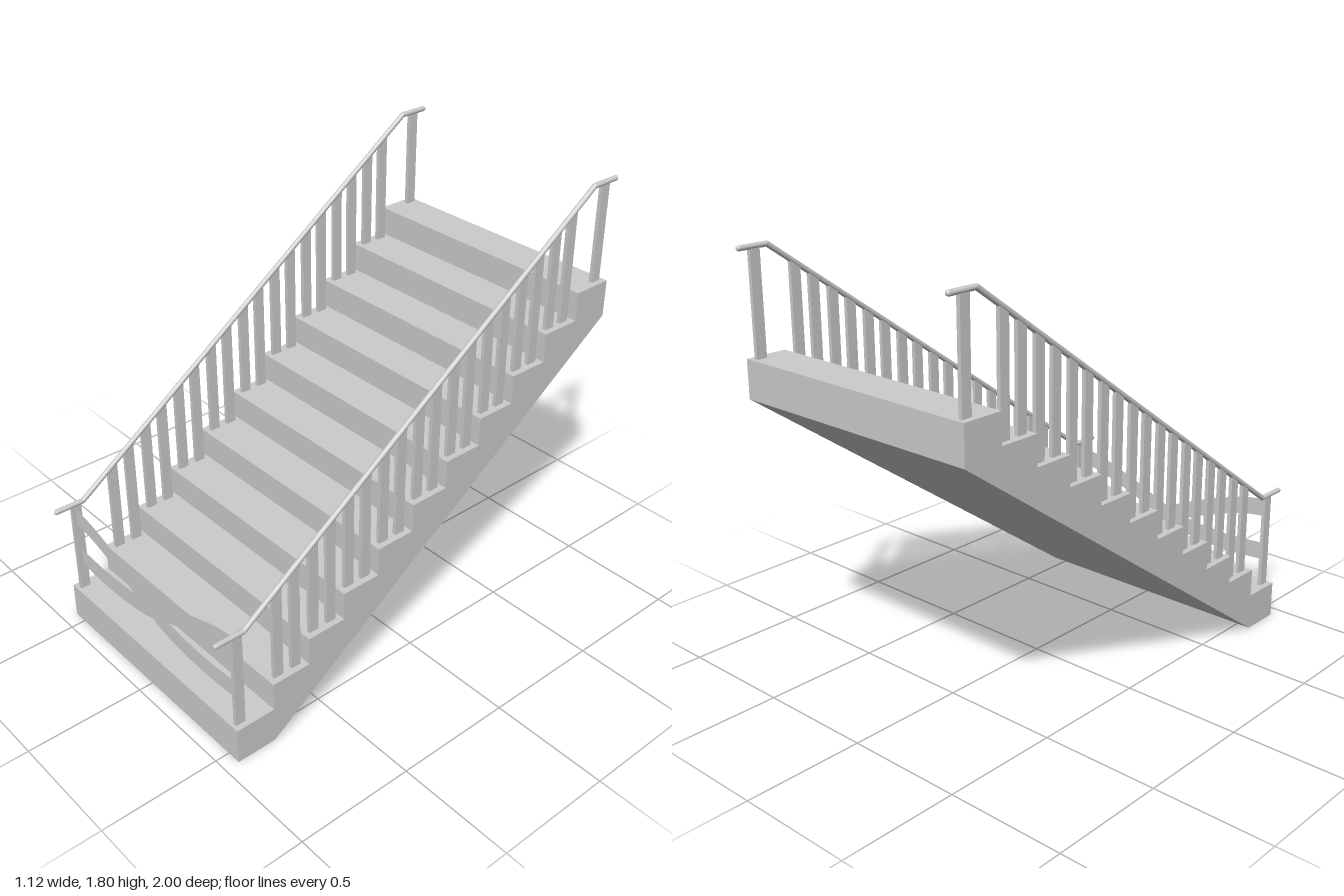
import * as THREE from 'three';

const STEPS = 11, RISE = 0.1215, RUN = 0.1731;
const FRONT = 0.938, FIRST = 0.155, WIDTH = 1.12;
const RAIL_X = 0.527, RAIL_R = 0.011;
const BACK = FRONT - STEPS * RUN;

const riserZ = (i) => FRONT - i * RUN;
const treadY = (i) => FIRST + i * RISE;

// Handrail centre line as [z, y]: level, sloped, level
const RAIL = [[0.989, 0.572], [0.866, 0.572], [-0.868, 1.786], [-0.989, 1.786]];
function railY(z) {
  const [, [z0, y0], [z1, y1]] = RAIL;
  return y0 + (y1 - y0) * THREE.MathUtils.clamp((z0 - z) / (z0 - z1), 0, 1);
}

const mat = new THREE.MeshStandardMaterial({ color: 0xcccccc });
const thinMat = new THREE.MeshStandardMaterial({ color: 0xcccccc, side: THREE.DoubleSide });

function add(parent, name, geometry, material = mat) {
  const mesh = new THREE.Mesh(geometry, material);
  mesh.name = name;
  parent.add(mesh);
  return mesh;
}

// Extrudes a [z, y] side profile across x, centred on x = 0
function sideExtrude(points, width) {
  const shape = new THREE.Shape(points.map(([z, y]) => new THREE.Vector2(-z, y)));
  return new THREE.ExtrudeGeometry(shape, { depth: width, bevelEnabled: false })
    .translate(0, 0, -width / 2)
    .rotateY(Math.PI / 2);
}

// Solid flight with a sloping underside
function flightGeometry() {
  const pts = [[riserZ(1), 0], [BACK, RISE * (STEPS - 1)]];
  for (let i = STEPS - 1; i >= 0; i--) pts.push([riserZ(i + 1), treadY(i)], [riserZ(i), treadY(i)]);
  pts.push([FRONT, 0]);
  return sideExtrude(pts, WIDTH);
}

// Flat upright whose top follows the handrail
function balusterGeometry(z, base) {
  const a = z + 0.022, b = z - 0.022;
  return sideExtrude([[a, base], [b, base], [b, railY(b)], [a, railY(a)]], 0.016);
}

function balustrade(name, x) {
  const side = new THREE.Group();
  side.name = name;
  side.position.x = x;

  // One post on the end steps, two balusters on each step between
  for (let i = 0; i < STEPS; i++) {
    const offsets = i === 0 ? [0.036] : i === STEPS - 1 ? [0.134] : [0.046, 0.13];
    const part = offsets.length === 1 ? 'post' : 'baluster';
    for (const d of offsets) add(side, part, balusterGeometry(riserZ(i) - d, treadY(i)));
  }

  // Round handrail with rounded joints and ends
  const pts = RAIL.map(([z, y]) => new THREE.Vector3(0, y, z));
  pts.forEach((p, i) => {
    add(side, 'handrailJoint', new THREE.SphereGeometry(RAIL_R, 16, 12)).position.copy(p);
    if (i === 0) return;
    const dir = p.clone().sub(pts[i - 1]);
    const bar = add(side, 'handrail', new THREE.CylinderGeometry(RAIL_R, RAIL_R, dir.length(), 16));
    bar.position.copy(p).add(pts[i - 1]).multiplyScalar(0.5);
    bar.quaternion.setFromUnitVectors(new THREE.Vector3(0, 1, 0), dir.normalize());
  });
  return side;
}

// Curved flat band sweeping from high on one post to low on the other
function bandGeometry(mirror) {
  const centre = new THREE.SplineCurve([
    [-0.525, 0.512], [-0.4, 0.493], [-0.2, 0.428], [0, 0.346],
    [0.13, 0.314], [0.33, 0.3], [0.525, 0.31],
  ].map(([x, y]) => new THREE.Vector2(x * mirror, y))).getPoints(48);
  const edge = (dy) => centre.map((p) => new THREE.Vector2(p.x, p.y + dy));
  return new THREE.ShapeGeometry(new THREE.Shape([...edge(-0.039), ...edge(0.039).reverse()]));
}

export function createModel() {
  const model = new THREE.Group();
  model.name = 'staircase';
  add(model, 'steps', flightGeometry());
  model.add(balustrade('leftBalustrade', RAIL_X), balustrade('rightBalustrade', -RAIL_X));

  // Crossed bands closing off the foot of the stairs
  add(model, 'frontBand', bandGeometry(1), thinMat).position.z = 0.906;
  add(model, 'rearBand', bandGeometry(-1), thinMat).position.z = 0.9;
  return model;
}
